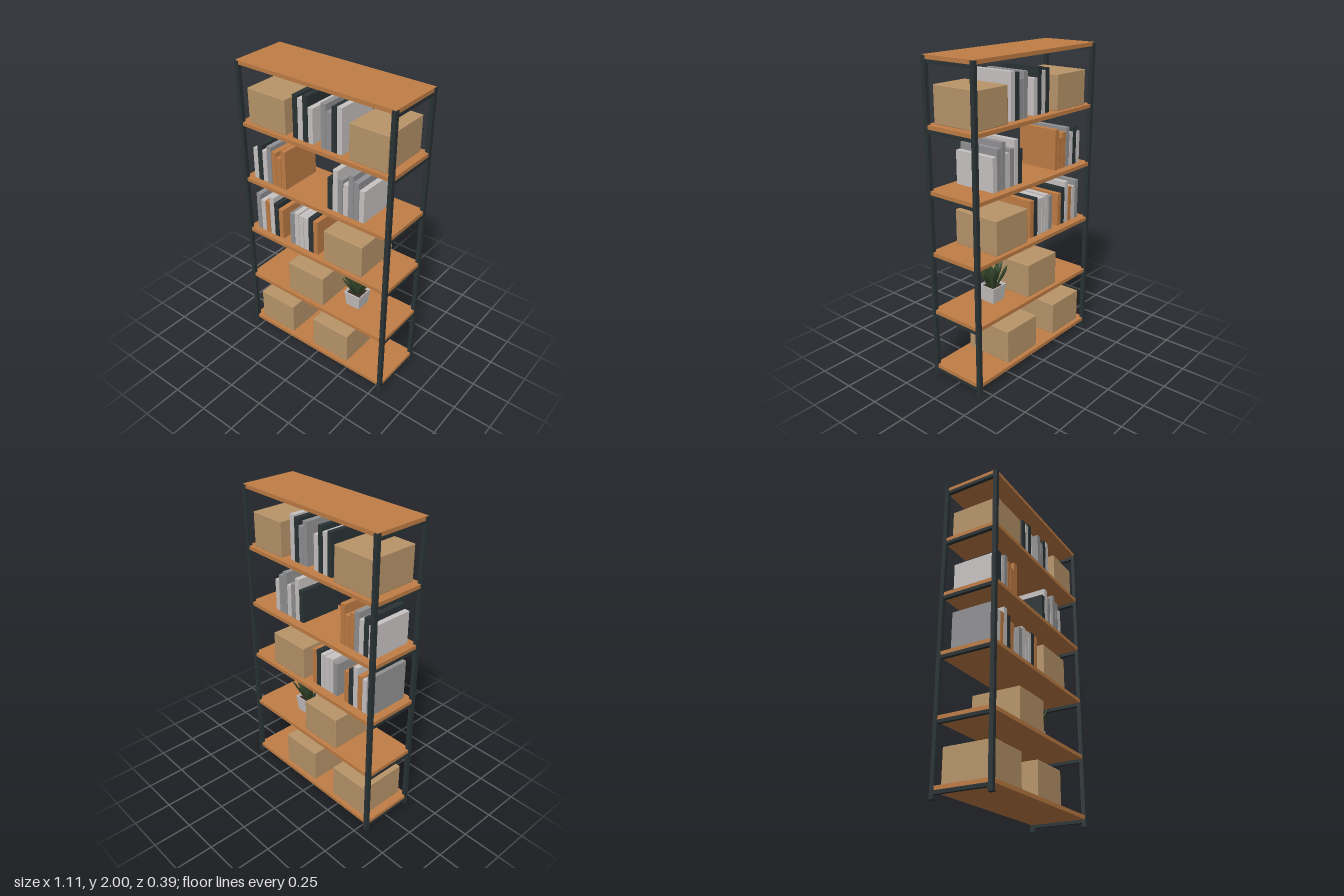
import * as THREE from 'three';
import { RoundedBoxGeometry } from 'three/addons/geometries/RoundedBoxGeometry.js';

const material = (name, color, side = THREE.FrontSide) => {
  const m = new THREE.MeshStandardMaterial({ color, side });
  m.name = name;
  return m;
};

export function createModel() {
  const wood = material('wood', 0xc07d45);
  const metal = material('dark metal', 0x2a3335);
  const cardboard = material('cardboard', 0xb8956a);
  const light = material('light grey', 0xc8c4c3);
  const grey = material('mid grey', 0x929294);
  const leafGreen = material('leaf green', 0x35482c);
  const soilBrown = material('soil', 0x3a2c22);

  const model = new THREE.Group();
  model.name = 'bookshelf';

  const add = (name, geometry, mat, x, y, z, parent = model) => {
    const mesh = new THREE.Mesh(geometry, mat);
    mesh.name = name;
    mesh.position.set(x, y, z);
    parent.add(mesh);
    return mesh;
  };
  const flat = (geometry) => {
    const g = geometry.toNonIndexed();
    g.computeVertexNormals();
    return g;
  };

  // Shelf boards and the side rails under them
  const shelfTop = (i) => 0.071 + i * 0.3858;
  const thick = 0.024;
  const board = new THREE.BoxGeometry(1.1, thick, 0.38);
  const rail = new THREE.BoxGeometry(0.022, 0.021, 0.36);
  const edge = new THREE.BoxGeometry(0.004, thick, 0.334);
  for (let i = 0; i < 6; i++) {
    add('shelfBoard', board, wood, 0, shelfTop(i) - thick / 2, 0);
    for (const s of [-1, 1]) {
      add('sideRail', rail, metal, s * 0.541, shelfTop(i) - thick - 0.0105, 0);
      add('boardEnd', edge, wood, s * 0.549, shelfTop(i) - thick / 2, 0);
    }
  }

  // Corner posts with small feet
  const post = new THREE.BoxGeometry(0.026, 1.997, 0.027);
  const foot = new THREE.BoxGeometry(0.028, 0.012, 0.029);
  for (const sx of [-1, 1]) {
    for (const sz of [-1, 1]) {
      add('post', post, metal, sx * 0.541, 0.9985, sz * 0.181);
      add('foot', foot, metal, sx * 0.541, 0.006, sz * 0.181);
    }
  }

  // Cardboard boxes: shelf, centre x, width
  const boxes = [
    [0, -0.353, 0.287], [0, 0.114, 0.287], [1, -0.086, 0.287],
    [2, 0.212, 0.287], [4, -0.353, 0.287], [4, 0.375, 0.253],
  ];
  for (const [shelf, x, width] of boxes) {
    const g = new RoundedBoxGeometry(width, 0.222, 0.328, 2, 0.004);
    add('storageBox', g, cardboard, x, shelfTop(shelf) + 0.111, 0.001);
  }

  // Books: shelf, left edge, colour letters, heights in hundredths
  const bookColours = { D: metal, L: light, G: grey, O: wood };
  const rows = [
    [4, -0.162, 'DLDL', [26.7, 25.5, 28.2, 22]],
    [4, 0.043, 'GGDL', [27.2, 23.2, 27.3, 28.2]],
    [3, -0.497, 'LDLGOOO', [20.9, 24.4, 21.7, 25.5, 23, 20.3, 26]],
    [3, 0.09, 'DLGLGGL', [21.3, 27.6, 22.8, 20.8, 28.2, 25, 20.8]],
    [2, -0.498, 'GLOLDO', [26.5, 23, 23.6, 28, 24.6, 21.7]],
    [2, -0.214, 'GLLLDO', [22.7, 24.6, 23.8, 24, 25.2, 24.4]],
  ];
  for (const [shelf, left, letters, heights] of rows) {
    const row = new THREE.Group();
    row.name = 'bookRow';
    model.add(row);
    heights.forEach((h, i) => {
      const g = new THREE.BoxGeometry(0.034, h / 100, 0.287);
      add('book', g, bookColours[letters[i]],
        left + 0.017 + i * 0.0378, shelfTop(shelf) + h / 200, 0.0075, row);
    });
  }

  // Potted plant: square tapered pot, soil and a rosette of leaves
  const plant = new THREE.Group();
  plant.name = 'pottedPlant';
  plant.position.set(0.214, shelfTop(1), 0);
  model.add(plant);

  const potProfile = [[0, 0], [0.05, 0], [0.061, 0.106], [0.054, 0.106], [0.052, 0.088]]
    .map(([r, y]) => new THREE.Vector2(r * Math.SQRT2, y));
  const pot = add('pot', flat(new THREE.LatheGeometry(potProfile, 4)), light, 0, 0, 0, plant);
  pot.rotation.y = Math.PI / 4;
  add('soil', new THREE.BoxGeometry(0.104, 0.006, 0.104), soilBrown, 0, 0.088, 0, plant);

  // Each leaf is a flattened spindle widest above its middle
  const leafProfile = [[0, 0], [0.009, 0], [0.014, 0.35], [0.0185, 0.65], [0.012, 0.86], [0, 1]]
    .map(([r, y]) => new THREE.Vector2(r, y));
  const leaf = flat(new THREE.LatheGeometry(leafProfile, 6).scale(1, 1, 0.35));
  const rings = [
    { count: 8, tilt: 0.5, length: 0.185, radius: 0.022, turn: 0.2 },
    { count: 6, tilt: 0.27, length: 0.185, radius: 0.014, turn: 0.6 },
    { count: 3, tilt: 0.08, length: 0.165, radius: 0.008, turn: 0.1 },
  ];
  for (const { count, tilt, length, radius, turn } of rings) {
    for (let i = 0; i < count; i++) {
      const arm = new THREE.Group();
      arm.name = 'leafArm';
      arm.rotation.y = turn + (i / count) * Math.PI * 2;
      plant.add(arm);
      const blade = add('leaf', leaf, leafGreen, 0, 0.085, radius, arm);
      blade.scale.set(1, length * (1 - 0.07 * (i % 3)), 1);
      blade.rotation.x = tilt;
    }
  }

  return model;
}
